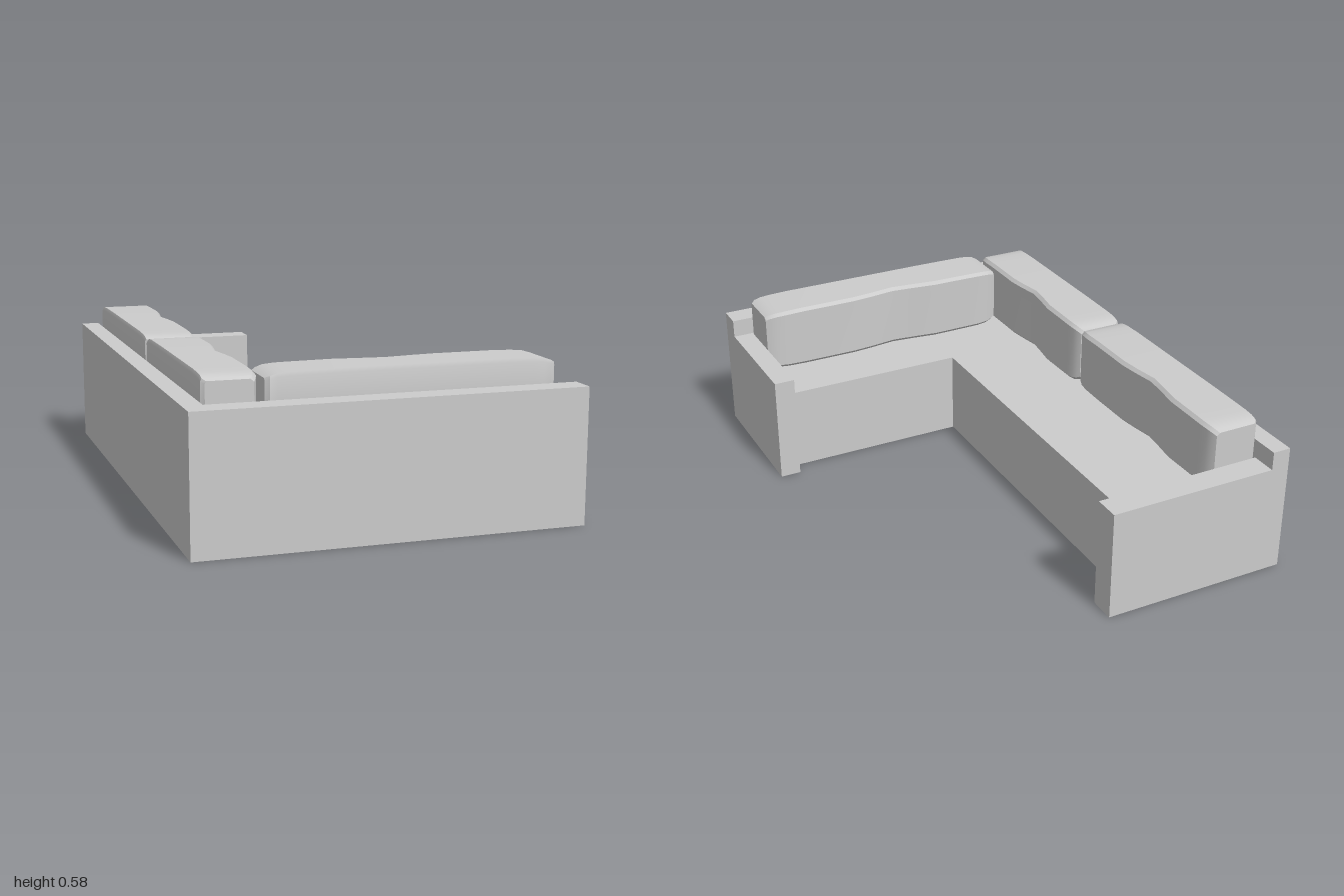
import * as THREE from 'three';
import { toCreasedNormals } from 'three/addons/utils/BufferGeometryUtils.js';

const material = new THREE.MeshStandardMaterial({ color: 0xcccccc, side: THREE.DoubleSide });
const SEAT = 0.33, BACK = 0.49, ARM = 0.42, TOP = 0.58, SKIN = 0.008;

// Box given by its extents on each axis
function block(name, [x0, x1], [y0, y1], [z0, z1]) {
  const mesh = new THREE.Mesh(new THREE.BoxGeometry(x1 - x0, y1 - y0, z1 - z0), material);
  mesh.position.set((x0 + x1) / 2, (y0 + y1) / 2, (z0 + z1) / 2);
  mesh.name = name;
  return mesh;
}

// Stations along a cushion: fraction of length, front inset, top and bottom inset
const STATIONS = [
  [0, 0.02, 0.02], [0.015, 0.012, 0.012], [0.04, 0.004, 0.005], [0.08, 0, 0.002], [0.15, 0, 0],
  [0.36, 0, 0], [0.44, 0.008, 0], [0.54, 0.022, 0], [0.63, 0.012, 0], [0.72, 0, 0],
  [0.85, 0, 0.001], [0.92, 0, 0.002], [0.96, 0.004, 0.005], [0.985, 0.012, 0.012], [1, 0.02, 0.02],
];

// Back cushion: length along x, back at z = 0, wavy front toward +z
function cushion(name, length, depth) {
  const n = STATIONS.length - 1, height = TOP - SEAT;
  const geo = new THREE.BoxGeometry(1, 1, 1, n, 3, 1);
  const p = geo.attributes.position;
  const rows = [0, 0.05, 0.95, 1];
  for (let i = 0; i < p.count; i++) {
    const [t, front, rise] = STATIONS[Math.round((p.getX(i) + 0.5) * n)];
    const row = Math.round((p.getY(i) + 0.5) * 3);
    const edge = row % 3 === 0 ? 0.012 : 0;
    const endBack = t === 0 || t === 1 ? 0.012 : 0;
    const z = p.getZ(i) > 0 ? depth - front - edge : endBack + edge * 0.4;
    p.setXYZ(i, (t - 0.5) * length, rise + rows[row] * (height - 2 * rise), z);
  }
  const mesh = new THREE.Mesh(toCreasedNormals(geo, 0.6), material);
  mesh.name = name;
  return mesh;
}

export function createModel() {
  const model = new THREE.Group();
  model.name = 'cornerSofa';

  // L-shaped seat, open underneath
  const seat = new THREE.Group();
  seat.name = 'seat';
  seat.add(
    block('longSeatTop', [-0.7, -0.1], [SEAT - SKIN, SEAT], [-1, 1]),
    block('shortSeatTop', [-0.1, 0.7], [SEAT - SKIN, SEAT], [0.48, 1]),
    block('longSeatFront', [-0.1 - SKIN, -0.1], [0, SEAT], [-0.95, 0.48]),
    block('shortSeatFront', [-0.37, 0.66], [0, SEAT], [0.48, 0.48 + SKIN]),
  );

  // Hollow backrests: thin outer panels with full-depth rails above the seat
  const backrests = new THREE.Group();
  backrests.name = 'backrests';
  backrests.add(
    block('longBackPanel', [-0.7, -0.7 + SKIN], [0, SEAT], [-1, 1]),
    block('longBackRail', [-0.7, -0.63], [SEAT, BACK], [-1, 1]),
    block('shortBackPanel', [-0.7, 0.7], [0, SEAT], [1 - SKIN, 1]),
    block('shortBackRail', [-0.63, 0.7], [SEAT, BACK], [0.905, 1]),
  );

  // Armrests, each running a little past the seat edge
  const arms = new THREE.Group();
  arms.name = 'armrests';
  arms.add(
    block('longArmPanel', [-0.7, -0.1], [0, SEAT], [-1, -1 + SKIN]),
    block('longArmRail', [-0.63, -0.1], [SEAT, ARM], [-1, -0.9]),
    block('longArmEnd', [-0.1, 0.02], [0, ARM], [-1, -0.9]),
    block('shortArmPanel', [0.7 - SKIN, 0.7], [0, SEAT], [0.48, 1]),
    block('shortArmRail', [0.62, 0.7], [SEAT, ARM], [0.48, 0.905]),
    block('shortArmEnd', [0.62, 0.7], [0, ARM], [0.42, 0.48]),
  );

  // Loose back cushions
  const cushions = new THREE.Group();
  cushions.name = 'backCushions';
  [[-0.9, 0.025], [0.03, 0.885]].forEach(([z0, z1], i) => {
    const c = cushion(`longBackCushion${i + 1}`, z1 - z0, 0.197);
    c.rotation.y = Math.PI / 2;
    c.position.set(-0.63, SEAT + 0.002, (z0 + z1) / 2);
    cushions.add(c);
  });
  const side = cushion('shortBackCushion', 1.04, 0.203);
  side.rotation.y = Math.PI;
  side.position.set(0.1, SEAT + 0.002, 0.903);
  cushions.add(side);

  model.add(seat, backrests, arms, cushions);
  return model;
}
